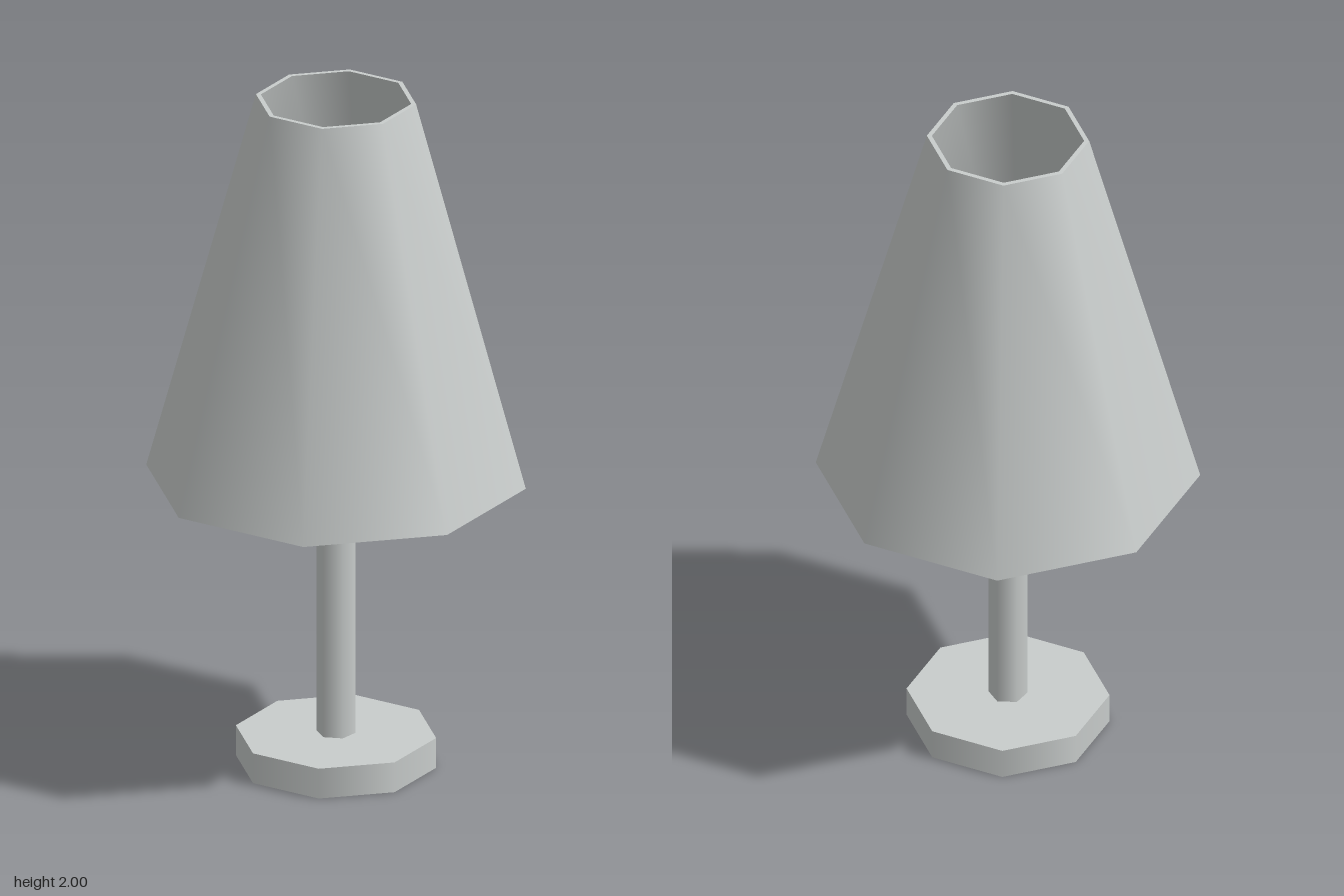
import * as THREE from 'three';

export function createModel() {
  const group = new THREE.Group();
  group.name = 'tableLamp';
  const paleGrey = new THREE.MeshStandardMaterial({ color: 0xc9cdcc });
  paleGrey.name = 'paleGrey';

  const add = (name, geometry, parent = group, y = 0) => {
    const mesh = new THREE.Mesh(geometry, paleGrey);
    mesh.name = name;
    mesh.position.y = y;
    parent.add(mesh);
  };

  // Octagonal foot
  const baseHeight = 0.09;
  add('base', new THREE.CylinderGeometry(0.285, 0.285, baseHeight, 8), group, baseHeight / 2);

  // Six-sided pole ending inside the shade, corners on the x axis
  const poleTop = 1.03;
  const poleHeight = poleTop - baseHeight;
  add('pole', new THREE.CylinderGeometry(0.055, 0.055, poleHeight, 6, 1, false, Math.PI / 2),
    group, baseHeight + poleHeight / 2);

  // Hollow eight-sided shade: walls meet at the lower edge, with a thin rim on top
  const shade = new THREE.Group();
  shade.name = 'shade';
  group.add(shade);
  const bottom = new THREE.Vector2(0.54, 0.86);
  const topOuter = new THREE.Vector2(0.228, 2);
  const topInner = new THREE.Vector2(0.214, 2);
  add('shadeOuterWall', new THREE.LatheGeometry([bottom, topOuter], 8), shade);
  add('shadeTopRim', new THREE.LatheGeometry([topOuter, topInner], 8), shade);
  add('shadeInnerWall', new THREE.LatheGeometry([topInner, bottom], 8), shade);

  return group;
}
